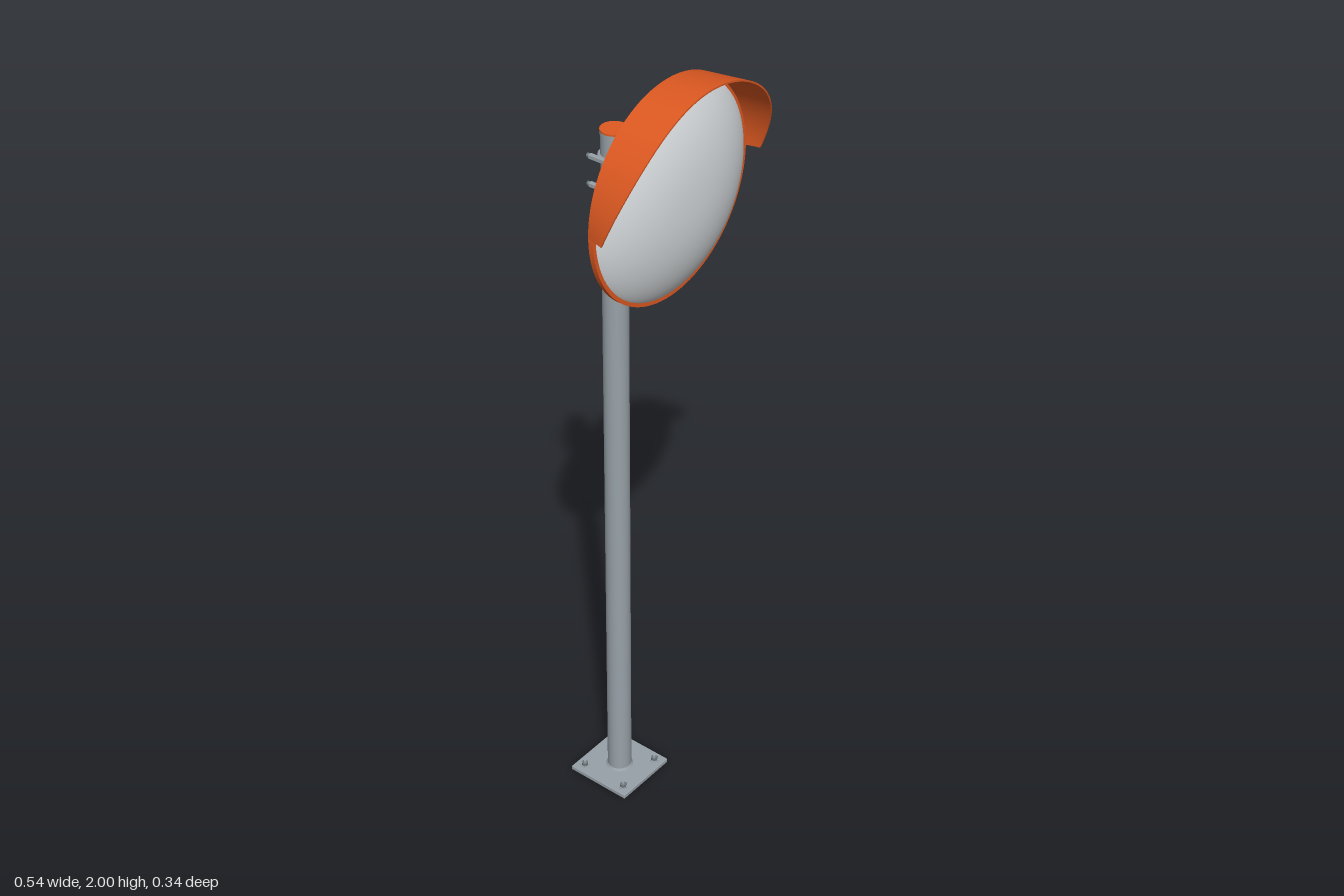
import * as THREE from 'three';
import { RoundedBoxGeometry } from 'three/addons/geometries/RoundedBoxGeometry.js';
import { ParametricGeometry } from 'three/addons/geometries/ParametricGeometry.js';

const POLE_Z = -0.087, HEAD_Y = 1.73, RIM_R = 0.258, BACK_Z = 0.056;

export function createModel() {
  const flat = (name, color) => {
    const m = new THREE.MeshStandardMaterial({ color });
    m.name = name;
    return m;
  };
  const steel = flat('galvanised steel', 0x98a2a9);
  const bolt = flat('bolt steel', 0x6f797f);
  const orange = flat('orange', 0xe05a22);
  const mirror = flat('mirror', 0xd8dcdf);
  const backGrey = flat('back panel grey', 0x6c7175);
  orange.side = THREE.DoubleSide;

  const root = new THREE.Group();
  root.name = 'trafficMirror';
  const group = (name) => {
    const g = new THREE.Group();
    g.name = name;
    root.add(g);
    return g;
  };
  const add = (parent, name, geometry, material, x, y, z) => {
    const m = new THREE.Mesh(geometry, material);
    m.name = name;
    m.position.set(x, y, z);
    parent.add(m);
    return m;
  };
  const box = (w, h, d, r = 0.002) => new RoundedBoxGeometry(w, h, d, 2, r);
  const rod = (r, h, sides = 16) => new THREE.CylinderGeometry(r, r, h, sides);

  // Post: base plate, anchor bolts, tube and cap
  const post = group('post');
  add(post, 'basePlate', box(0.173, 0.012, 0.173), steel, 0, 0.006, POLE_Z);
  add(post, 'pole', rod(0.03, 1.808, 48), steel, 0, 0.914, POLE_Z);
  add(post, 'weldCollar', new THREE.CylinderGeometry(0.03, 0.034, 0.006, 48), steel, 0, 0.015, POLE_Z);
  add(post, 'poleTop', rod(0.0315, 0.008, 48), steel, 0, 1.818, POLE_Z);
  add(post, 'poleCap', rod(0.0315, 0.004, 48), orange, 0, 1.824, POLE_Z);
  for (const sx of [-1, 1]) for (const sz of [-1, 1]) {
    const x = sx * 0.0625, z = POLE_Z + sz * 0.0625;
    add(post, 'anchorWasher', rod(0.011, 0.002, 20), steel, x, 0.013, z);
    add(post, 'anchorNut', rod(0.0085, 0.008, 6), bolt, x, 0.018, z);
    add(post, 'anchorStud', rod(0.0045, 0.008, 12), steel, x, 0.025, z);
  }

  // Mirror head: lathes are turned about y, then laid to face forward
  const head = group('mirrorHead');
  const lathe = (name, points, material) => {
    const g = new THREE.LatheGeometry(points.map(([r, z]) => new THREE.Vector2(r, z)), 96);
    add(head, name, g, material, 0, HEAD_Y, 0).rotation.x = Math.PI / 2;
  };
  const dome = [];
  for (let i = 0; i <= 28; i++) {
    const t = Math.sin((i / 28) * Math.PI / 2);
    dome.push([0.252 * t, 0.064 + 0.069 * Math.pow(Math.max(0, 1 - Math.pow(t, 2.3)), 0.8)]);
  }
  lathe('mirrorDome', dome.reverse(), mirror);
  lathe('rimOuter', [[RIM_R, BACK_Z], [RIM_R, 0.068]], orange);
  lathe('rimFront', [[RIM_R, 0.068], [0.248, 0.068]], orange);
  lathe('rimBack', [[0.251, BACK_Z], [RIM_R, BACK_Z]], orange);
  add(head, 'backPanel', rod(0.252, 0.004, 96), backGrey, 0, HEAD_Y, BACK_Z + 0.0015).rotation.x = Math.PI / 2;

  // Visor: flared half hood, deepest at the top; a = angle, t = depth, k = thickness
  const visorPoint = (a, t, k, out) => {
    const depth = 0.044 + 0.07 * Math.sin(Math.sin(a) * Math.PI / 2);
    const r = RIM_R + 0.012 * t - 0.004 * k;
    out.set(r * Math.cos(a), r * Math.sin(a), BACK_Z + depth * t);
  };
  const visor = group('visor');
  visor.position.y = HEAD_Y;
  const sheet = (name, fn, nu, nv) => {
    const g = new ParametricGeometry(fn, nu, nv);
    g.computeVertexNormals();
    add(visor, name, g, orange, 0, 0, 0);
  };
  sheet('visorOuter', (u, v, p) => visorPoint(Math.PI * u, v, 0, p), 72, 6);
  sheet('visorInner', (u, v, p) => visorPoint(Math.PI * u, v, 1, p), 72, 6);
  sheet('visorLip', (u, v, p) => visorPoint(Math.PI * u, 1, v, p), 72, 1);
  for (const a of [0, Math.PI]) sheet('visorEnd', (u, v, p) => visorPoint(a, u, v, p), 2, 1);

  // Bracket between head and post
  const bracket = group('bracket');
  add(bracket, 'mountPlate', box(0.106, 0.115, 0.013, 0.004), steel, 0, HEAD_Y, 0.049);
  for (const s of [-1, 1]) {
    add(bracket, 'arm', box(0.007, 0.042, 0.098), steel, s * 0.036, HEAD_Y, -0.004);
    add(bracket, 'armBolt', rod(0.003, 0.02, 12), steel, s * 0.036, HEAD_Y, 0.025).rotation.z = Math.PI / 2;
    for (const o of [-1, 1]) {
      add(bracket, 'armNut', rod(0.007, 0.006, 6), bolt, s * 0.036 + o * 0.0065, HEAD_Y, 0.025).rotation.z = Math.PI / 2;
      add(bracket, 'plateBolt', rod(0.007, 0.007, 6), bolt, s * 0.04, HEAD_Y + o * 0.045, 0.039).rotation.x = Math.PI / 2;
    }
    add(bracket, 'saddleCheek', box(0.006, 0.056, 0.04), steel, s * 0.035, HEAD_Y, -0.068);
  }
  add(bracket, 'saddle', box(0.088, 0.07, 0.008), steel, 0, HEAD_Y, -0.049);

  // Two clamps: side bars, a strap behind the pole and end nuts
  for (const dy of [-0.034, 0.034]) {
    const y = HEAD_Y + dy;
    const strap = add(bracket, 'clampStrap', new THREE.TorusGeometry(0.0325, 0.004, 10, 32, Math.PI), steel, 0, y, POLE_Z);
    strap.rotation.x = -Math.PI / 2;
    for (const s of [-1, 1]) {
      add(bracket, 'clampBar', box(0.011, 0.011, 0.078), steel, s * 0.0385, y, -0.085);
      add(bracket, 'clampNut', rod(0.006, 0.006, 6), bolt, s * 0.0385, y, -0.126).rotation.x = Math.PI / 2;
    }
  }
  return root;
}
